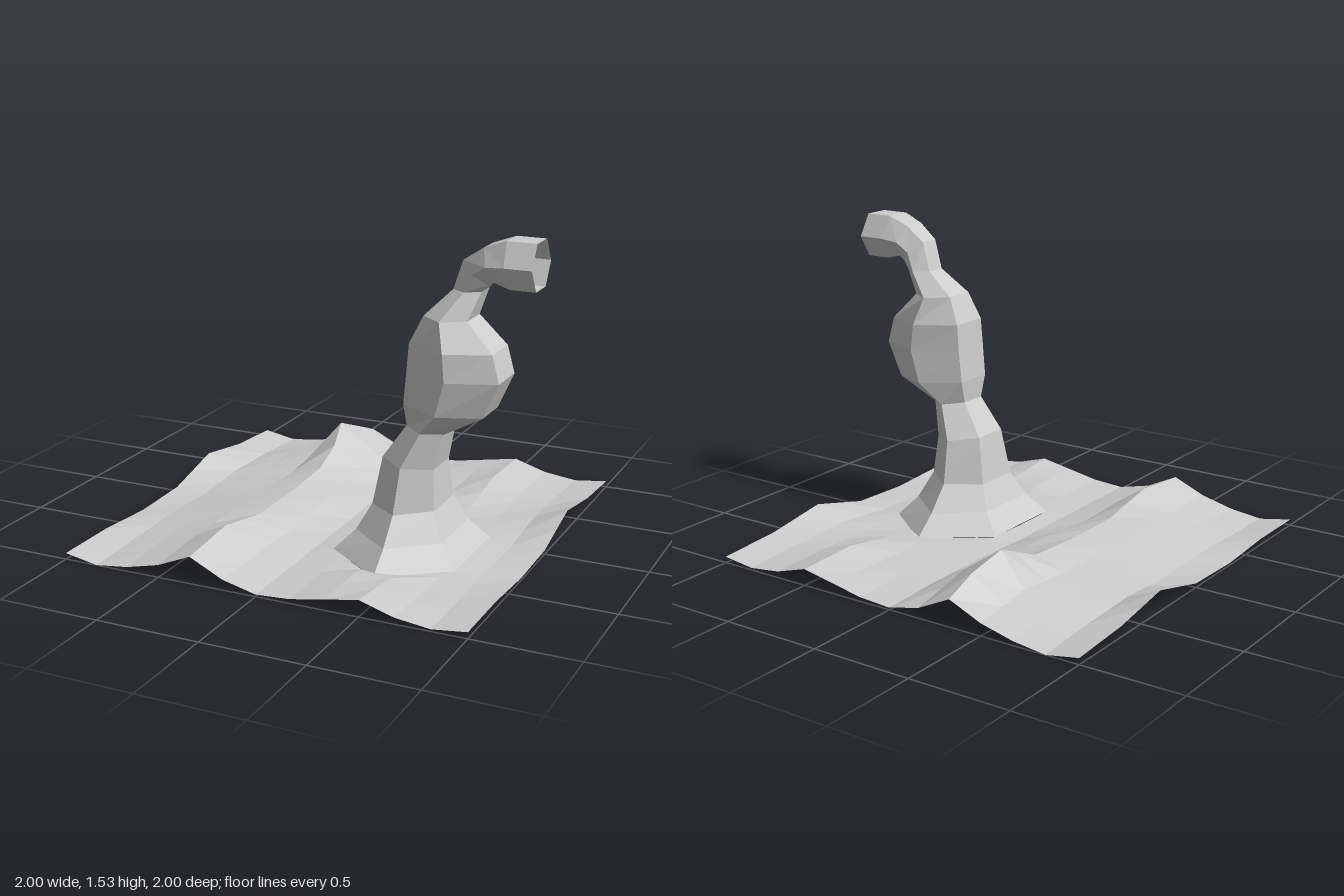
import * as THREE from 'three';

const material = new THREE.MeshStandardMaterial({
  color: 0xcccccc, flatShading: true, side: THREE.DoubleSide,
});

// Hexagonal trunk rings: outer x, y, inner x, y, half depth, centre z
const RINGS = [
  [0.10, 0.025, 0.71, 0.02, 0.455, 0.185],
  [0.19, 0.12, 0.62, 0.12, 0.345, 0.185],
  [0.25, 0.24, 0.56, 0.25, 0.24, 0.185],
  [0.29, 0.47, 0.545, 0.44, 0.19, 0.185],
  [0.40, 0.63, 0.585, 0.61, 0.14, 0.19],
  [0.395, 0.74, 0.78, 0.72, 0.20, 0.19],
  [0.41, 0.90, 0.855, 0.89, 0.205, 0.19],
  [0.42, 1.03, 0.82, 1.02, 0.20, 0.19],
  [0.48, 1.16, 0.69, 1.155, 0.155, 0.19],
  [0.595, 1.28, 0.73, 1.28, 0.10, 0.15],
  [0.645, 1.42, 0.765, 1.315, 0.10, 0.165],
  [0.75, 1.49, 0.80, 1.335, 0.115, 0.18],
  [0.86, 1.53, 0.88, 1.315, 0.13, 0.19],
  [1.00, 1.53, 1.00, 1.315, 0.13, 0.19],
];

// Ground heights at every third of a unit in z, every sixth in x; z = 1 repeats z = -1
const HEIGHTS = [
  [.03, .00, .02, .06, .13, .05, .01, .02, .05, .08, .03, .01, .03],
  [.05, .02, .06, .10, .26, .12, .02, .03, .04, .09, .04, .03, .05],
  [.10, .03, .05, .07, .12, .06, .02, .03, .04, .04, .03, .04, .10],
  [.02, .01, .04, .07, .10, .07, .01, .02, .02, .02, .02, .01, .02],
  [.01, .02, .05, .08, .10, .04, .01, .02, .02, .02, .02, .01, .01],
  [.03, .01, .04, .08, .16, .05, .01, .02, .05, .05, .02, .01, .03],
];

function makeGeometry(points, index) {
  const geometry = new THREE.BufferGeometry();
  geometry.setAttribute('position', new THREE.Float32BufferAttribute(points, 3));
  geometry.setIndex(index);
  geometry.computeVertexNormals();
  return geometry;
}

// Open six-sided loft through the rings
function trunkGeometry() {
  const points = [], index = [];
  RINGS.forEach(([ax, ay, bx, by, depth, cz], r) => {
    for (let k = 0; k < 6; k++) {
      const a = k * Math.PI / 3;
      const t = Math.sin(a) / Math.sin(Math.PI / 3); // -1, 0 or 1 across the ring
      points.push(
        (ax + bx) / 2 + t * (bx - ax) / 2,
        (ay + by) / 2 + t * (by - ay) / 2,
        cz + depth * Math.cos(a));
      if (r === 0) continue;
      const n = (k + 1) % 6, lo = (r - 1) * 6, hi = r * 6;
      index.push(lo + k, lo + n, hi + n, lo + k, hi + n, hi + k);
    }
  });
  return makeGeometry(points, index);
}

// Relative distance from the trunk's foot: below 1 is inside its hexagon
function footDistance(x, z) {
  const u = Math.abs(x - 0.405) / 0.305;
  const v = Math.abs(z - 0.185) / 0.455;
  return Math.max(u, v + u / 2);
}

// Rolling ground with an opening where the trunk grows out
function groundGeometry() {
  const N = 12, points = [], index = [], inside = [];
  for (let j = 0; j <= N; j++) {
    const row = Math.floor(j / 2);
    const a = HEIGHTS[row % 6], b = HEIGHTS[(row + (j % 2)) % 6];
    for (let i = 0; i <= N; i++) {
      let x = -1 + i / 6, y = (a[i] + b[i]) / 2, z = -1 + j / 6;
      if (i === 4 && j === 2) x -= 0.04; // leaning peak
      const d = footDistance(x, z);
      inside.push(d < 1.08);
      if (d < 1.08 && d > 0.01) {
        x = 0.405 + (x - 0.405) / d;
        z = 0.185 + (z - 0.185) / d;
        y = 0.022;
      }
      points.push(x, y, z);
    }
  }
  const addTriangle = (...t) => {
    if (!t.every((v) => inside[v])) index.push(...t);
  };
  for (let j = 0; j < N; j++) {
    for (let i = 0; i < N; i++) {
      const a = j * (N + 1) + i, b = a + 1, c = a + N + 1, d = c + 1;
      addTriangle(a, c, b);
      addTriangle(b, c, d);
    }
  }
  return makeGeometry(points, index);
}

export function createModel() {
  const group = new THREE.Group();
  const ground = new THREE.Mesh(groundGeometry(), material);
  ground.name = 'ground';
  const trunk = new THREE.Mesh(trunkGeometry(), material);
  trunk.name = 'bentTrunk';
  group.add(ground, trunk);
  return group;
}
